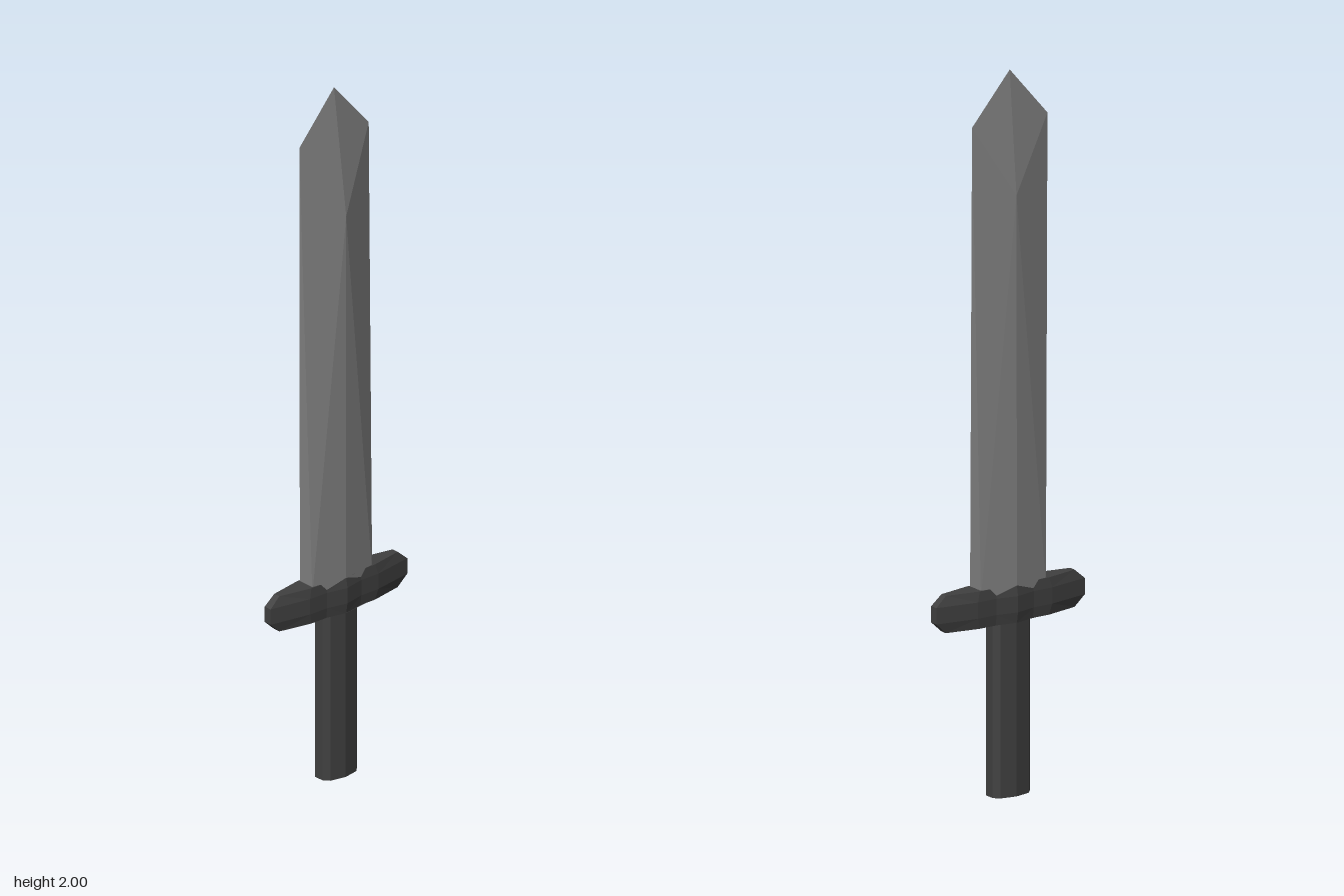
import * as THREE from 'three';

const V = (x, y, z) => new THREE.Vector3(x, y, z);

// Skin between rings of points (ordered from +x towards +z, bottom ring first), with end caps.
function loft(rings) {
  const out = [];
  const tri = (a, b, c) => {
    const n = b.clone().sub(a).cross(c.clone().sub(a));
    if (n.length() > 1e-7) out.push(...a.toArray(), ...b.toArray(), ...c.toArray());
  };
  const n = rings[0].length;
  for (let r = 0; r < rings.length - 1; r++) {
    for (let i = 0; i < n; i++) {
      const j = (i + 1) % n;
      const a = rings[r][i], d = rings[r][j], b = rings[r + 1][i], c = rings[r + 1][j];
      // split each quad along its shorter diagonal
      if (a.distanceTo(c) <= b.distanceTo(d)) { tri(a, b, c); tri(a, c, d); }
      else { tri(a, b, d); tri(b, c, d); }
    }
  }
  const lo = rings[0], hi = rings[rings.length - 1];
  for (let i = 1; i < n - 1; i++) {
    tri(lo[0], lo[i], lo[i + 1]);
    tri(hi[0], hi[i + 1], hi[i]);
  }
  const g = new THREE.BufferGeometry();
  g.setAttribute('position', new THREE.Float32BufferAttribute(out, 3));
  g.computeVertexNormals();
  return g;
}

// Mirror a quarter outline [x, z] (from the +x end to the centre ridge) into a full ring.
function ring(quarter, y) {
  const right = quarter.slice(0, -1), mid = quarter[quarter.length - 1];
  const left = right.slice().reverse();
  return [
    ...right.map(([x, z]) => V(x, y, z)), V(mid[0], y, mid[1]),
    ...left.map(([x, z]) => V(-x, y, z)),
    ...right.map(([x, z]) => V(-x, y, -z)), V(mid[0], y, -mid[1]),
    ...left.map(([x, z]) => V(x, y, -z)),
  ];
}

export function createModel() {
  const group = new THREE.Group();
  const steel = new THREE.MeshStandardMaterial({ color: 0x808080, flatShading: true });
  const dark = new THREE.MeshStandardMaterial({ color: 0x404040, flatShading: true });
  const add = (name, rings, material) => {
    const mesh = new THREE.Mesh(loft(rings), material);
    mesh.name = name;
    group.add(mesh);
  };

  // Grip: flattened bar with chamfered sides and a soft centre ridge
  const gripOutline = [[0.06, 0.015], [0.046, 0.03], [0, 0.039]];
  add('grip', [ring(gripOutline, 0), ring(gripOutline, 0.5)], dark);

  // Crossguard: tapers to both ends, bevelled above and below
  const outer = [[0.24, 0.012], [0.12, 0.033], [0.06, 0.033], [0, 0.046]];
  const inner = [[0.208, 0.01], [0.112, 0.029], [0.06, 0.029], [0, 0.041]];
  add('crossguard', [
    ring(inner, 0.48), ring(outer, 0.51), ring(outer, 0.555), ring(inner, 0.583),
  ], dark);

  // Blade: ridged faces, side flats closing to sharp shoulders, faceted point
  const shoulder = V(0.122, 1.86, -0.008), shoulderR = V(-0.122, 1.86, -0.008);
  const ridgeFront = V(0, 1.64, 0.041), ridgeBack = V(0, 1.66, -0.039);
  const tip = V(0, 2, -0.008);
  add('blade', [
    ring([[0.105, 0.025], [0, 0.041]], 0.56),
    [shoulder, ridgeFront, shoulderR, shoulderR, ridgeBack, shoulder],
    Array(6).fill(tip),
  ], steel);

  return group;
}
